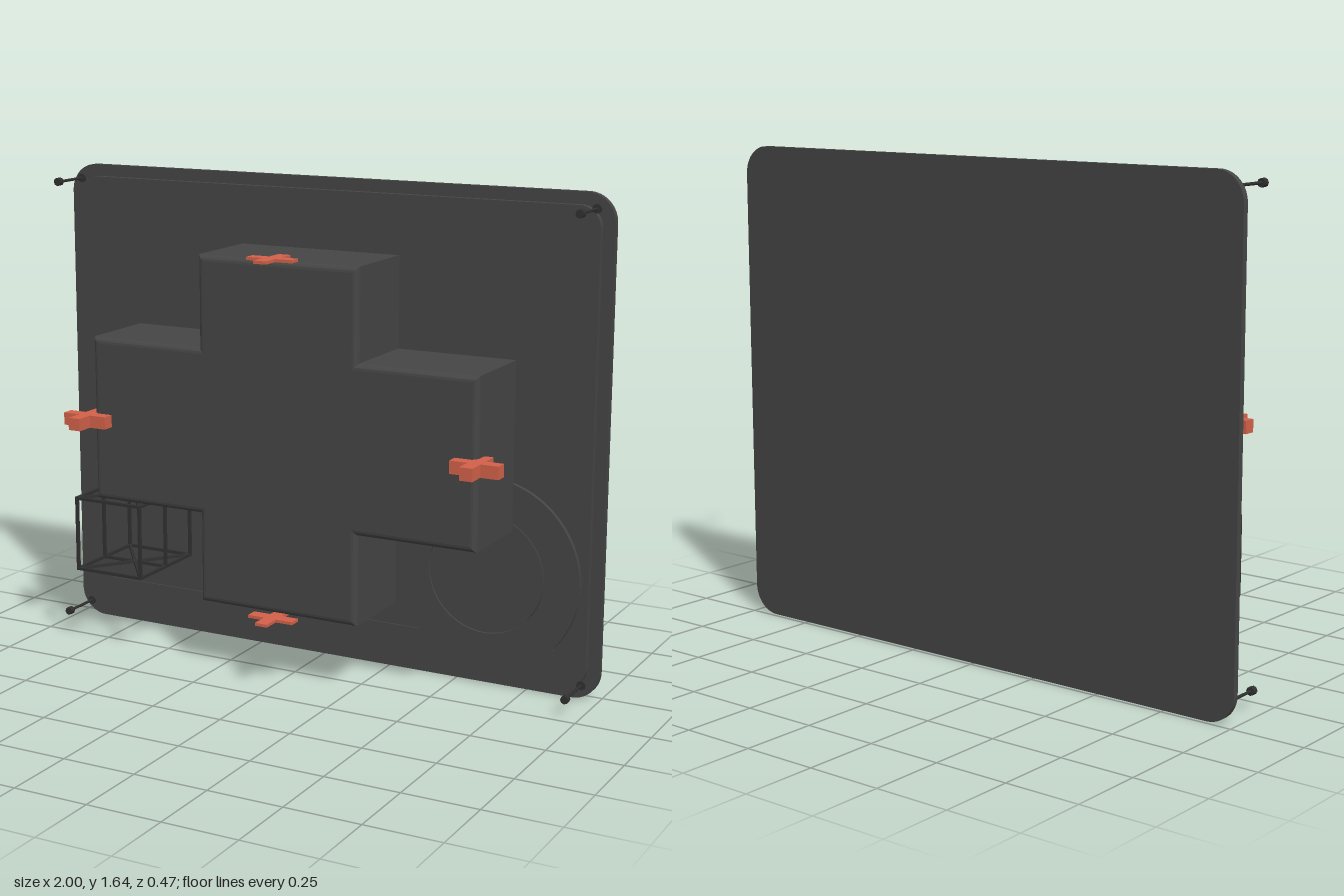
import * as THREE from 'three';

export function createModel() {
  const group = new THREE.Group();
  const charcoal = new THREE.MeshStandardMaterial({ color: 0x454545 });
  charcoal.name = 'charcoal';
  const dark = new THREE.MeshStandardMaterial({ color: 0x303030 });
  dark.name = 'dark metal';
  const coral = new THREE.MeshStandardMaterial({ color: 0xd2614a });
  coral.name = 'coral';

  const add = (name, geometry, material, x = 0, y = 0, z = 0, parent = group) => {
    const mesh = new THREE.Mesh(geometry, material);
    mesh.name = name;
    mesh.position.set(x, y, z);
    parent.add(mesh);
    return mesh;
  };

  // Rounded sheet centred on the origin, extruded towards +z
  const sheet = (w, h, r, depth) => {
    const s = new THREE.Shape();
    const a = w / 2 - r, b = h / 2 - r;
    s.absarc(a, b, r, 0, Math.PI / 2);
    s.absarc(-a, b, r, Math.PI / 2, Math.PI);
    s.absarc(-a, -b, r, Math.PI, Math.PI * 1.5);
    s.absarc(a, -b, r, Math.PI * 1.5, Math.PI * 2);
    return new THREE.ExtrudeGeometry(s, { depth, bevelEnabled: false, curveSegments: 10 });
  };
  add('backPanel', sheet(2, 1.645, 0.095, 0.021), charcoal, 0, 0.8225, -0.235);
  add('innerPanel', sheet(1.92, 1.565, 0.07, 0.022), charcoal, 0, 0.8225, -0.214);

  // Plus-shaped housing with softened edges
  const plusShape = (l, r, b, t, il, ir, ib, it) => new THREE.Shape([
    [il, b], [ir, b], [ir, ib], [r, ib], [r, it], [ir, it],
    [ir, t], [il, t], [il, it], [l, it], [l, ib], [il, ib],
  ].map(([x, y]) => new THREE.Vector2(x, y)));
  const bevel = 0.02;
  add('housing', new THREE.ExtrudeGeometry(
    plusShape(-0.705, 0.702, 0.24, 1.412, -0.292, 0.289, 0.545, 1.106),
    { depth: 0.277, bevelSize: bevel, bevelOffset: -bevel, bevelThickness: bevel, bevelSegments: 4 },
  ), charcoal, 0, 0, -0.172);

  // Plus-shaped markers lying flat around the housing
  for (const [name, x, y, thickness] of [
    ['rightMarker', -0.713, 0.825, 0.042], ['leftMarker', 0.711, 0.825, 0.042],
    ['topMarker', 0, 1.42, 0.01], ['bottomMarker', 0, 0.234, 0.01],
  ]) {
    const g = new THREE.ExtrudeGeometry(
      plusShape(-0.082, 0.082, -0.082, 0.082, -0.022, 0.022, -0.021, 0.021),
      { depth: thickness, bevelEnabled: false },
    );
    g.translate(0, 0, -thickness / 2).rotateX(-Math.PI / 2);
    add(name, g, coral, x, y, 0.152);
  }

  // Corner pins with square-edged heads
  for (const x of [-0.947, 0.947]) for (const y of [0.055, 1.597]) {
    const pin = new THREE.Group();
    pin.name = 'cornerPin';
    pin.position.set(x, y, 0);
    group.add(pin);
    add('pinRod', new THREE.CylinderGeometry(0.005, 0.005, 0.15, 8).rotateX(Math.PI / 2), dark, 0, 0, -0.125, pin);
    add('pinHead', new THREE.CylinderGeometry(0.014, 0.014, 0.02, 8).rotateX(Math.PI / 2), dark, 0, 0, -0.049, pin);
    add('pinBase', new THREE.CylinderGeometry(0.015, 0.015, 0.006, 16).rotateX(Math.PI / 2), dark, 0, 0, -0.19, pin);
  }

  // Flat ring with a rim around its opening
  const ring = new THREE.Shape();
  ring.absarc(0, 0, 0.325, 0, Math.PI * 2);
  const opening = new THREE.Path();
  opening.absarc(0, 0, 0.203, 0, Math.PI * 2, true);
  ring.holes.push(opening);
  add('flatRing', new THREE.ExtrudeGeometry(ring, { depth: 0.016, bevelEnabled: false, curveSegments: 32 }),
    charcoal, 0.612, 0.387, -0.191);
  add('ringCentre', new THREE.CylinderGeometry(0.2, 0.2, 0.016, 64).rotateX(Math.PI / 2), charcoal, 0.612, 0.387, -0.184);

  // Thin ledge along the lower panel
  add('lowerLedge', new THREE.BoxGeometry(1.7, 0.006, 0.006), charcoal, 0, 0.155, -0.19);

  // Open bar cage: three square frames, long rails and crossed braces
  const cage = new THREE.Group();
  cage.name = 'cage';
  group.add(cage);
  const bar = (name, from, to) => {
    const a = new THREE.Vector3(...from), b = new THREE.Vector3(...to);
    const mesh = add(name, new THREE.BoxGeometry(0.01, 0.01, a.distanceTo(b) + 0.008), dark, 0, 0, 0, cage);
    mesh.position.copy(a).add(b).multiplyScalar(0.5);
    mesh.lookAt(b);
  };
  const [x0, x1, y0, y1, z0, z1] = [-0.775, -0.523, 0.289, 0.54, -0.187, 0.138];
  for (const z of [z0, (z0 + z1) / 2, z1]) {
    for (const x of [x0, x1]) bar('cagePost', [x, y0, z], [x, y1, z]);
    for (const y of [y0, y1]) bar('cageCrossbar', [x0, y, z], [x1, y, z]);
  }
  for (const y of [y0, y1]) {
    for (const x of [x0, x1]) bar('cageRail', [x, y, z0], [x, y, z1]);
    bar('cageBrace', [x0, y, z0], [x1, y, z1]);
    bar('cageBrace', [x1, y, z0], [x0, y, z1]);
  }

  return group;
}
